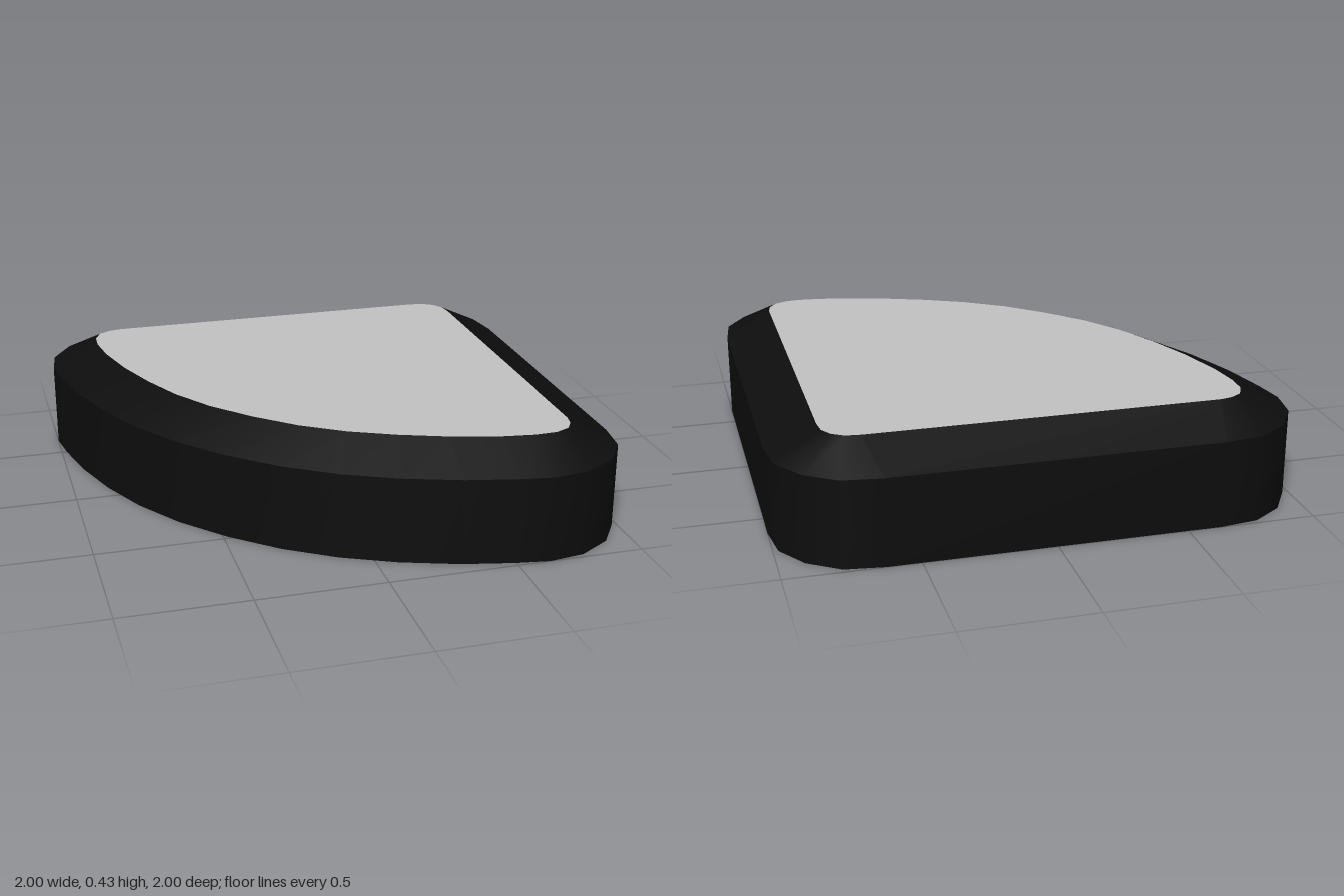
import * as THREE from 'three';

const black = new THREE.MeshStandardMaterial({ color: 0x0d0d0d, side: THREE.DoubleSide });
black.name = 'black';
const grey = new THREE.MeshStandardMaterial({ color: 0xc3c3c3, side: THREE.DoubleSide });
grey.name = 'light grey';

// Half outlines [x, z], from the square corner round to the middle of the curved side
const outerHalf = [
  [0.9, -0.9], [0.98, -0.78], [1, -0.63], [1, 0.63], [0.98, 0.78], [0.9, 0.9], [0.77, 0.98],
  [0.63, 1], [0.5, 0.98], [0.3, 0.935], [0.08, 0.86], [-0.12, 0.765], [-0.31, 0.64], [-0.485, 0.485],
];
const innerHalf = [
  [0.775, -0.775], [0.803, -0.73], [0.81, -0.67], [0.81, 0.68], [0.8, 0.73], [0.772, 0.775], [0.715, 0.802],
  [0.63, 0.805], [0.5, 0.787], [0.31, 0.737], [0.13, 0.67], [-0.04, 0.59], [-0.2, 0.485], [-0.35, 0.35],
];

// Complete an outline by mirroring it across the diagonal x = -z
function mirrorOutline(half) {
  const other = half.slice(1, -1).reverse().map(([x, z]) => [-z, -x]);
  return [...half, ...other];
}

// Closed strip of faces between two matching outlines at two heights
function band(low, yLow, high, yHigh) {
  const n = low.length;
  const positions = [];
  const index = [];
  for (let i = 0; i < n; i++) {
    positions.push(low[i][0], yLow, low[i][1], high[i][0], yHigh, high[i][1]);
    const a = 2 * i;
    const b = 2 * ((i + 1) % n);
    index.push(b, a, a + 1, b, a + 1, b + 1);
  }
  const geometry = new THREE.BufferGeometry();
  geometry.setAttribute('position', new THREE.Float32BufferAttribute(positions, 3));
  geometry.setIndex(index);
  geometry.computeVertexNormals();
  return geometry;
}

export function createModel() {
  const model = new THREE.Group();
  model.name = 'cornerLamp';
  const outer = mirrorOutline(outerHalf);
  const inner = mirrorOutline(innerHalf);

  const add = (name, geometry, material) => {
    const mesh = new THREE.Mesh(geometry, material);
    mesh.name = name;
    model.add(mesh);
  };

  // Open-bottomed housing: upright wall and sloping rim
  add('wall', band(outer, 0, outer, 0.34), black);
  add('slopingRim', band(outer, 0.34, inner, 0.43), black);

  // Flat panel filling the rim
  const shape = new THREE.Shape(inner.map(([x, z]) => new THREE.Vector2(x, -z)));
  const panel = new THREE.ShapeGeometry(shape).rotateX(-Math.PI / 2).translate(0, 0.43, 0);
  add('topPanel', panel, grey);

  return model;
}
